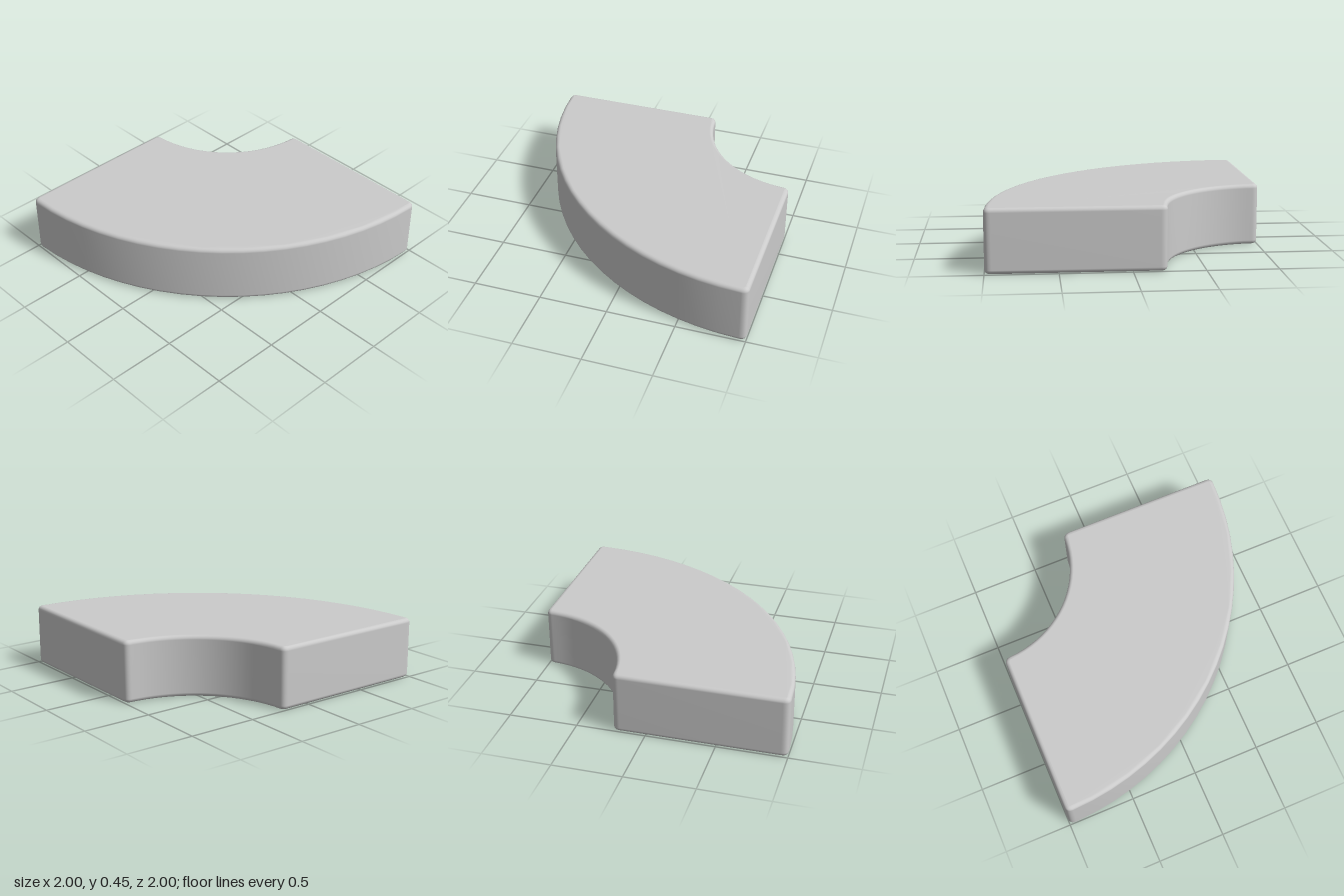
import * as THREE from 'three';
import { mergeVertices } from 'three/addons/utils/BufferGeometryUtils.js';

const OUTER = 2, INNER = 0.765, HEIGHT = 0.45;
const CORNER = 0.05, BEVEL = 0.03;

// Quarter ring around the origin, with softened corners
function quarterRing() {
  const a = CORNER / OUTER, b = CORNER / INNER, q = Math.PI / 2;
  const s = new THREE.Shape();
  s.moveTo(INNER + CORNER, 0);
  s.lineTo(OUTER - CORNER, 0);
  s.quadraticCurveTo(OUTER, 0, OUTER * Math.cos(a), OUTER * Math.sin(a));
  s.absarc(0, 0, OUTER, a, q - a, false);
  s.quadraticCurveTo(0, OUTER, 0, OUTER - CORNER);
  s.lineTo(0, INNER + CORNER);
  s.quadraticCurveTo(0, INNER, INNER * Math.sin(b), INNER * Math.cos(b));
  s.absarc(0, 0, INNER, q - b, b, true);
  s.quadraticCurveTo(INNER, 0, INNER + CORNER, 0);
  return s;
}

export function createModel() {
  const extruded = new THREE.ExtrudeGeometry(quarterRing(), {
    depth: HEIGHT - 2 * BEVEL,
    bevelThickness: BEVEL,
    bevelSize: BEVEL,
    bevelOffset: -BEVEL,
    bevelSegments: 4,
    curveSegments: 10,
  });

  // Lay flat, base on the ground, arc centre in the back corner
  extruded.rotateX(Math.PI / 2);
  extruded.translate(-1, HEIGHT - BEVEL, -1);

  // Weld so the bevels shade smoothly into the large faces
  extruded.deleteAttribute('normal');
  extruded.deleteAttribute('uv');
  const geometry = mergeVertices(extruded, 1e-4);
  geometry.clearGroups();
  geometry.computeVertexNormals();

  const curvedBlock = new THREE.Mesh(
    geometry,
    new THREE.MeshStandardMaterial({ color: 0xcccccc })
  );
  curvedBlock.name = 'curvedBlock';

  const group = new THREE.Group();
  group.name = 'quarterRingBlock';
  group.add(curvedBlock);
  return group;
}
